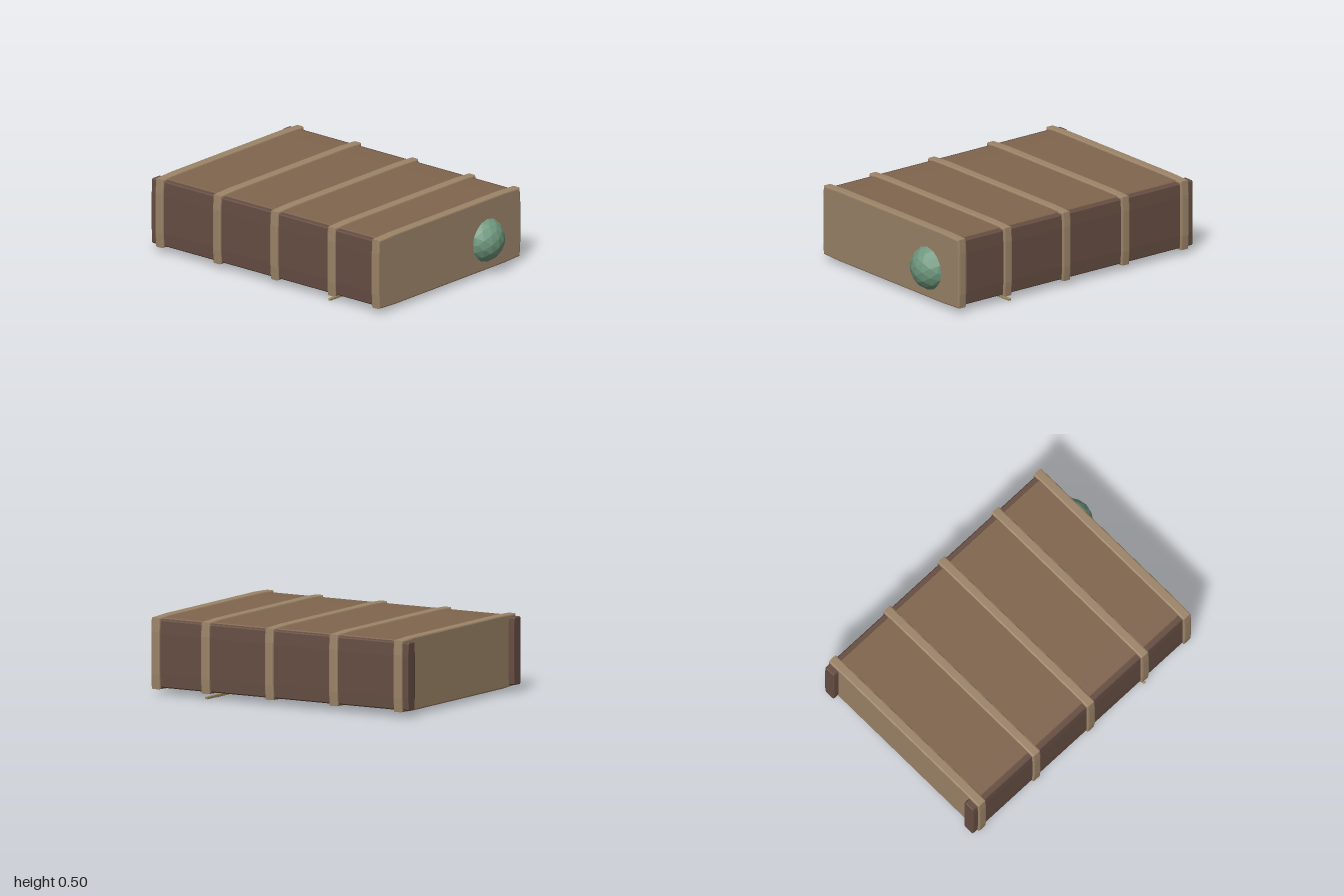
import * as THREE from 'three';

const mat = (color) => new THREE.MeshStandardMaterial({ color, flatShading: true });
const shelfWood = mat(0x9c8468);
const sideWood = mat(0x664e43);
const backWood = mat(0x80654e);
const trimWood = mat(0x9a8a5e);
const globeGreen = mat(0x6f987e);
const bookColors = {
  grey: mat(0xb9b9ae), mauve: mat(0x8a5a6c), navy: mat(0x3a4560), green: mat(0x4e6156),
};

export function createModel() {
  const model = new THREE.Group();

  const add = (name, geometry, material, parent = model) => {
    const mesh = new THREE.Mesh(geometry, material);
    mesh.name = name;
    parent.add(mesh);
    return mesh;
  };

  // Bevelled plank between two corners, its long edges bowing in slightly near the ends
  const plank = (name, [x0, y0, z0], [x1, y1, z1], material, bevel = 0.01, bow = 0.006) => {
    const w = (x1 - x0) / 2 - bevel, h = (y1 - y0) / 2 - bevel;
    const quarter = [[w, h * 0.6], [w - bow, h - bow], [w * 0.78, h]];
    const points = [];
    for (const [sx, sy] of [[1, 1], [-1, 1], [-1, -1], [1, -1]]) {
      const run = sx * sy > 0 ? quarter : [...quarter].reverse();
      for (const [x, y] of run) points.push(new THREE.Vector2(x * sx, y * sy));
    }
    const geometry = new THREE.ExtrudeGeometry(new THREE.Shape(points), {
      depth: z1 - z0 - 2 * bevel, bevelSize: bevel, bevelThickness: bevel, bevelSegments: 2,
    });
    geometry.translate((x0 + x1) / 2, (y0 + y1) / 2, z0 + bevel);
    return add(name, geometry, material);
  };

  // Five shelves of a bookcase lying face down
  for (const z of [-0.927, -0.449, 0.027, 0.501, 0.87]) {
    plank('shelf', [-0.685, 0.028, z - 0.032], [0.685, 0.497, z + 0.032], shelfWood);
  }

  // Side panels, projecting at the foot end
  for (const s of [-1, 1]) {
    const x = s * 0.629;
    plank('sidePanel', [x - 0.042, 0.045, -1], [x + 0.042, 0.477, 0.87], sideWood, 0.006, 0.004);
  }

  // Back panel
  plank('backPanel', [-0.632, 0.455, -0.95], [0.632, 0.488, 0.88], backWood, 0.004, 0.002);

  // Thin trim strip in front of one shelf
  plank('trimStrip', [-0.685, 0, 0.482], [0.685, 0.019, 0.5], trimWood, 0.003, 0.002);

  // Books: shelf surface, then [colour, left edge, right edge, top]
  const rows = [
    { base: -0.9, books: [['grey', 0.12, -0.08, -0.61], ['mauve', -0.085, -0.245, -0.59], ['navy', -0.25, -0.46, -0.57]] },
    { base: -0.42, books: [['navy', 0.45, 0.265, -0.085], ['green', 0.26, 0.08, -0.09]] },
    { base: 0.055, books: [['mauve', 0.03, -0.11, 0.39], ['green', -0.12, -0.315, 0.375], ['grey', -0.325, -0.51, 0.365]] },
  ];
  for (const { base, books } of rows) {
    const row = new THREE.Group();
    row.name = 'bookRow';
    model.add(row);
    for (const [color, left, right, top] of books) {
      const book = add('book', new THREE.BoxGeometry(left - right, 0.28, top - base), bookColors[color], row);
      book.position.set((left + right) / 2, 0.26, (top + base) / 2);
    }
  }

  // Faceted globe set into the end shelf
  const globe = add('globe', new THREE.IcosahedronGeometry(0.152, 2), globeGreen);
  globe.position.set(0.365, 0.223, 0.848);

  return model;
}
